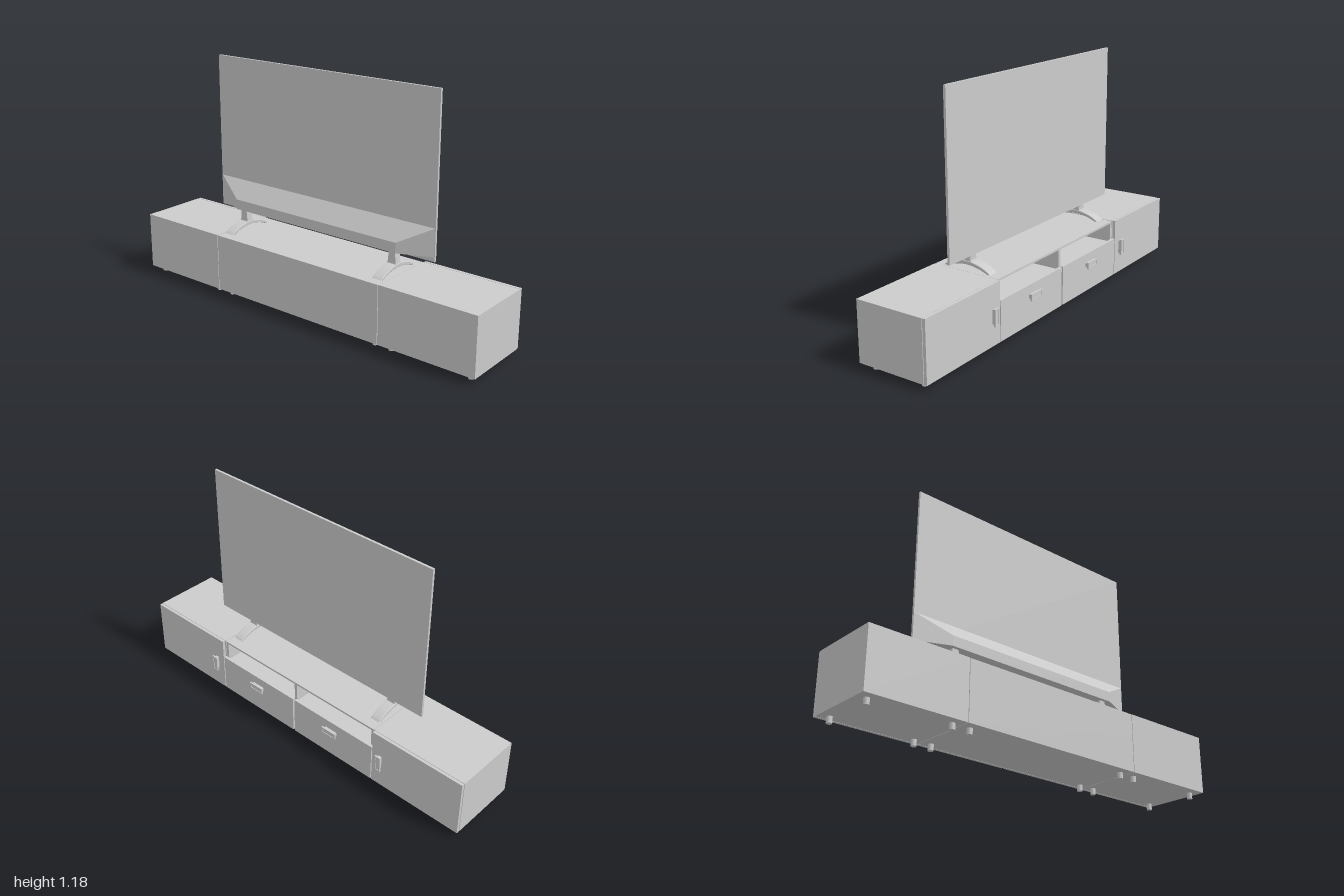
import * as THREE from 'three';

const mat = new THREE.MeshStandardMaterial({ color: 0xcccccc });

function add(parent, name, geo) {
  const m = new THREE.Mesh(geo, mat);
  m.name = name;
  parent.add(m);
  return m;
}

// box given by its limits on each axis
function slab(parent, name, x0, x1, y0, y1, z0, z1) {
  const m = add(parent, name, new THREE.BoxGeometry(x1 - x0, y1 - y0, Math.abs(z1 - z0)));
  m.position.set((x0 + x1) / 2, (y0 + y1) / 2, (z0 + z1) / 2);
  return m;
}

function rect(path, w, h) {
  path.moveTo(-w / 2, -h / 2);
  path.lineTo(w / 2, -h / 2);
  path.lineTo(w / 2, h / 2);
  path.lineTo(-w / 2, h / 2);
  path.closePath();
  return path;
}

// handle: stem block carrying a raised rim with a shallow recess
function handle(parent, y, z, w, h) {
  const g = new THREE.Group();
  g.name = 'handle';
  slab(g, 'handleStem', 0, 0.019, -h / 2 + 0.007, h / 2 - 0.007, -w / 2 + 0.007, w / 2 - 0.007);
  const s = rect(new THREE.Shape(), w, h);
  s.holes.push(rect(new THREE.Path(), w - 0.014, h - 0.014));
  const rim = add(g, 'handleRim', new THREE.ExtrudeGeometry(s, { depth: 0.009, bevelEnabled: false }));
  rim.rotation.y = Math.PI / 2;
  rim.position.x = 0.013;
  g.position.set(0.171, y, z);
  parent.add(g);
}

function feet(parent, zs) {
  for (const x of [-0.148, 0.12]) for (const z of zs) {
    const f = add(parent, 'cabinetFoot', new THREE.CylinderGeometry(0.013, 0.013, 0.032, 16));
    f.position.set(x, 0.016, z);
  }
}

// closed cabinet with a door at each end
function endCabinet(s) {
  const g = new THREE.Group();
  g.name = s > 0 ? 'leftCabinet' : 'rightCabinet';
  slab(g, 'cabinetBody', -0.198, 0.154, 0.03, 0.32, s * 0.497, s);
  slab(g, 'cabinetDoor', 0.156, 0.171, 0.03, 0.32, s * 0.502, s * 0.999);
  handle(g, 0.17, s * 0.55, 0.032, 0.082);
  feet(g, [s * 0.54, s * 0.953]);
  return g;
}

// middle unit: two drawers under an open, divided shelf
function middleCabinet() {
  const g = new THREE.Group();
  g.name = 'middleCabinet';
  const x0 = -0.198, x1 = 0.154;
  slab(g, 'lowerCarcass', x0, x1, 0.03, 0.213, -0.494, 0.494);
  slab(g, 'topPanel', x0, x1, 0.309, 0.319, -0.494, 0.494);
  slab(g, 'backPanel', x0, x0 + 0.01, 0.213, 0.309, -0.494, 0.494);
  slab(g, 'divider', x0 + 0.01, x1, 0.213, 0.309, -0.008, 0.008);
  for (const s of [1, -1]) {
    slab(g, 'sidePanel', x0 + 0.01, x1, 0.213, 0.309, s * 0.479, s * 0.494);
    slab(g, 'drawerFront', 0.156, 0.171, 0.03, 0.225, s * 0.005, s * 0.497);
    handle(g, 0.171, s * 0.246, 0.084, 0.033);
  }
  feet(g, [0.45, -0.45]);
  return g;
}

// tapered housing behind the screen
function housingGeometry() {
  const geo = new THREE.BoxGeometry(1, 1, 1);
  const p = geo.attributes.position;
  for (let i = 0; i < p.count; i++) {
    const back = p.getX(i) < 0, top = p.getY(i) > 0;
    p.setXYZ(i, back ? -0.062 : 0.006,
      top ? (back ? 0.475 : 0.56) : 0.425,
      Math.sign(p.getZ(i)) * (back ? 0.488 : 0.65));
  }
  geo.computeVertexNormals();
  return geo;
}

// arched stand foot with a neck that flares at its base
function stand(z) {
  const g = new THREE.Group();
  g.name = 'screenStand';
  const s = new THREE.Shape();
  s.moveTo(-0.15, 0.323);
  s.quadraticCurveTo(-0.105, 0.353, -0.04, 0.361);
  s.lineTo(-0.01, 0.361);
  s.quadraticCurveTo(0.06, 0.353, 0.1, 0.323);
  s.lineTo(0.088, 0.323);
  s.quadraticCurveTo(0.035, 0.348, -0.025, 0.349);
  s.quadraticCurveTo(-0.085, 0.348, -0.138, 0.323);
  s.closePath();
  const arch = add(g, 'standArch', new THREE.ExtrudeGeometry(s, {
    depth: 0.044, bevelThickness: 0.004, bevelSize: 0.003, bevelSegments: 2, curveSegments: 16,
  }));
  arch.position.z = -0.022;

  const n = new THREE.Shape();
  n.moveTo(-0.025, 0.355);
  n.lineTo(0.0, 0.355);
  n.quadraticCurveTo(-0.007, 0.36, -0.007, 0.375);
  n.lineTo(-0.007, 0.43);
  n.lineTo(-0.043, 0.43);
  n.lineTo(-0.043, 0.375);
  n.quadraticCurveTo(-0.043, 0.36, -0.05, 0.355);
  n.closePath();
  const neck = new THREE.ExtrudeGeometry(n, { depth: 1, bevelEnabled: false, curveSegments: 6 });
  // the neck narrows toward the screen
  const p = neck.attributes.position;
  for (let i = 0; i < p.count; i++) {
    const t = THREE.MathUtils.clamp((p.getY(i) - 0.365) / 0.03, 0, 1);
    p.setZ(i, (p.getZ(i) - 0.5) * (0.048 - 0.016 * t));
  }
  neck.computeVertexNormals();
  add(g, 'standNeck', neck);
  g.position.z = z;
  return g;
}

export function createModel() {
  const model = new THREE.Group();
  model.name = 'mediaUnit';
  model.add(endCabinet(1), endCabinet(-1), middleCabinet());

  const tv = new THREE.Group();
  tv.name = 'television';
  slab(tv, 'screenPanel', 0.006, 0.018, 0.403, 1.182, -0.653, 0.653);
  add(tv, 'rearHousing', housingGeometry());
  tv.add(stand(0.457), stand(-0.457));
  model.add(tv);
  return model;
}
